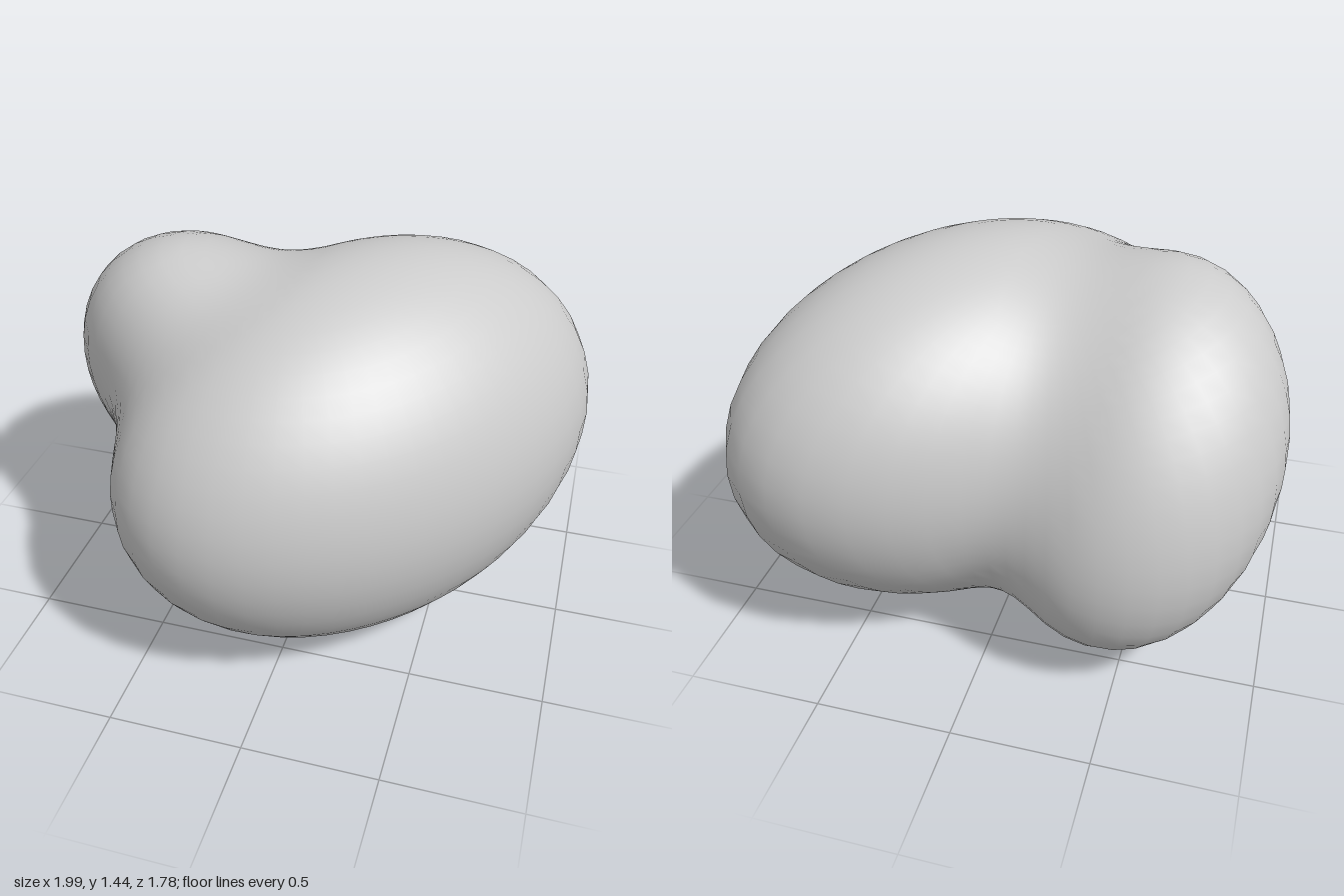
import * as THREE from 'three';

// Ellipsoid given by its centre and a symmetric spread matrix
// (squared half-extents on the diagonal, tilt off the diagonal).
function ellipsoid(center, [xx, yy, zz, xy, xz, yz]) {
  const c = new THREE.Vector3(...center);
  const inverse = new THREE.Matrix3().set(xx, xy, xz, xy, yy, yz, xz, yz, zz).invert();
  const d = new THREE.Vector3(), q = new THREE.Vector3();
  return (p) => {
    d.subVectors(p, c);
    q.copy(d).applyMatrix3(inverse);
    const k = Math.sqrt(Math.max(d.dot(q), 1e-9));
    return k * (k - 1) / Math.max(q.length(), 1e-6); // approximate distance
  };
}

const mainLobe = ellipsoid([0.18, 0.72, 0], [0.67, 0.518, 0.79, 0, -0.3, -0.03]);
const sideLobe = ellipsoid([-0.47, 0.77, -0.22], [0.28, 0.4225, 0.325, -0.03, 0, 0.14]);
const BLEND = 0.22;

// Smooth union of the two lobes
function field(p) {
  const a = mainLobe(p), b = sideLobe(p);
  const h = Math.max(BLEND - Math.abs(a - b), 0) / BLEND;
  return Math.min(a, b) - h * h * BLEND / 4;
}

// Surface normal from the slope of the field
function slope(p) {
  const e = 0.004;
  const along = (x, y, z) => {
    const step = new THREE.Vector3(x, y, z);
    return field(p.clone().add(step)) - field(p.clone().sub(step));
  };
  return new THREE.Vector3(along(e, 0, 0), along(0, e, 0), along(0, 0, e)).normalize();
}

export function createModel() {
  const group = new THREE.Group();
  group.name = 'blendedLobes';

  // Push every point of a sphere out to the blended surface
  const geometry = new THREE.SphereGeometry(1, 56, 36);
  const position = geometry.attributes.position, normal = geometry.attributes.normal;
  const core = new THREE.Vector3(-0.12, 0.74, -0.08);
  const dir = new THREE.Vector3(), p = new THREE.Vector3();
  for (let i = 0; i < position.count; i++) {
    dir.fromBufferAttribute(position, i).normalize();
    let near = 0, far = 2;
    for (let n = 0; n < 24; n++) {
      const mid = (near + far) / 2;
      p.copy(core).addScaledVector(dir, mid);
      if (field(p) < 0) near = mid; else far = mid;
    }
    position.setXYZ(i, p.x, p.y, p.z);
    const s = slope(p);
    normal.setXYZ(i, s.x, s.y, s.z);
  }

  const body = new THREE.Mesh(geometry, new THREE.MeshStandardMaterial({ color: 0xcccccc }));
  body.name = 'body';
  group.add(body);
  return group;
}
